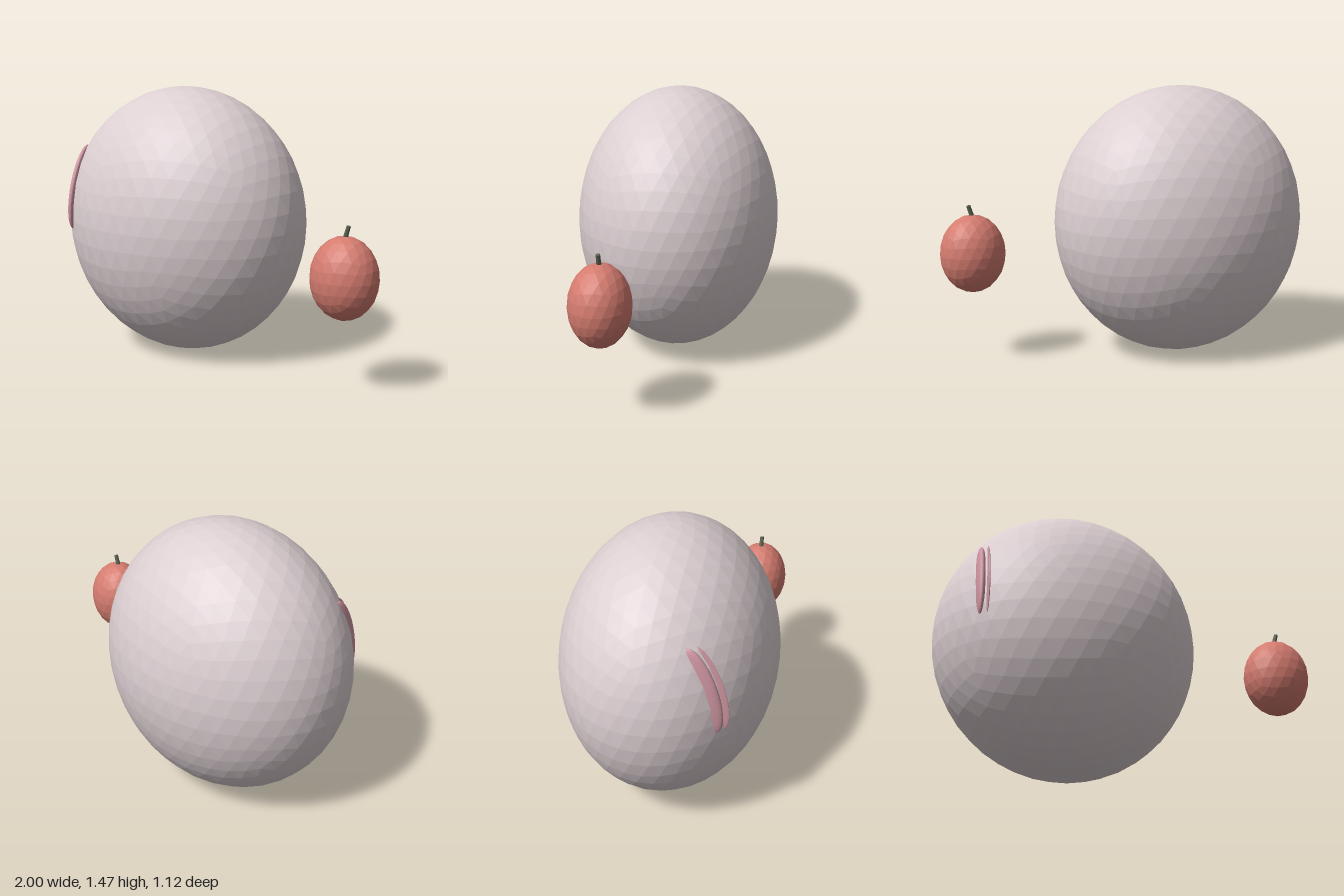
import * as THREE from 'three';

const material = (color, flatShading = true) => {
  const m = new THREE.MeshStandardMaterial({ flatShading });
  m.color.set(color);
  return m;
};

// Faceted ellipsoid with a vertex at its top and bottom
function ellipsoid(name, color, radii, position, detail) {
  const geometry = new THREE.IcosahedronGeometry(1, detail);
  geometry.rotateZ(Math.atan(2 / (1 + Math.sqrt(5))));
  geometry.scale(...radii);
  const mesh = new THREE.Mesh(geometry, material(color));
  mesh.name = name;
  mesh.position.set(...position);
  return mesh;
}

export function createModel() {
  const model = new THREE.Group();
  model.name = 'bodyWithFruit';

  // Large pale body
  model.add(ellipsoid('body', 0xdccfd2, [0.705, 0.735, 0.56], [-0.295, 0.735, 0], 7));

  // Narrow pink slit: two slim lips lying along the body's surface
  const lips = [
    ['outerLip', 0.03, -0.802, 0.306],
    ['innerLip', 0.011, -0.77, 0.329],
  ];
  for (const [name, width, x, z] of lips) {
    const lip = ellipsoid(name, 0xcf96a2, [width, 0.24, 0.08], [x, 0.91, z], 7);
    lip.rotation.x = -0.31;
    model.add(lip);
  }

  // Small red fruit with its stem
  const fruit = new THREE.Group();
  fruit.name = 'fruit';
  fruit.position.set(0.823, 0.592, 0.217);
  fruit.add(ellipsoid('fruitFlesh', 0xd57c70, [0.175, 0.21, 0.156], [0, 0, 0], 3));

  const stem = new THREE.Mesh(new THREE.CylinderGeometry(0.011, 0.013, 0.07, 8), material(0x5c6252));
  stem.name = 'stem';
  stem.position.set(0.008, 0.226, 0);
  stem.rotation.z = -0.3;
  fruit.add(stem);
  model.add(fruit);

  return model;
}
